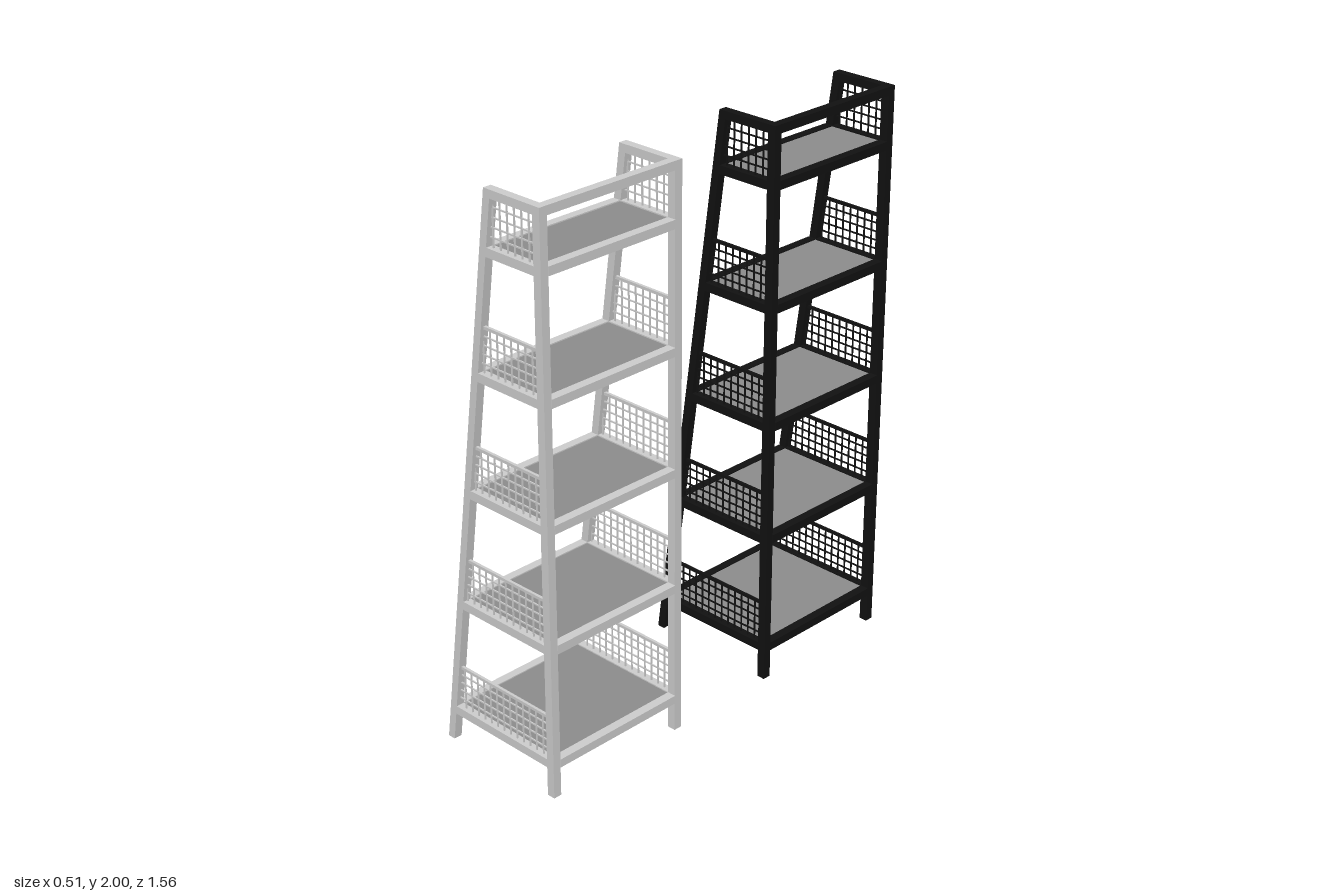
import * as THREE from 'three';

const T = 0.03;                 // bar thickness
const BACK = 0.24;              // x of the upright legs
const SIDE = 0.273;             // half distance between the two ladder sides
const TOP = 2;
const LEVELS = [0.12, 0.54, 0.96, 1.38, 1.8];
const slope = 0.138;
const legX = (y) => -0.243 + slope * y;   // centre line of the leaning legs

function box(parent, name, material, x0, x1, y0, y1, z0, z1) {
  const mesh = new THREE.Mesh(new THREE.BoxGeometry(x1 - x0, y1 - y0, z1 - z0), material);
  mesh.position.set((x0 + x1) / 2, (y0 + y1) / 2, (z0 + z1) / 2);
  mesh.name = name;
  parent.add(mesh);
  return mesh;
}

// Leaning leg: a box sheared so both ends stay level
function leaningLeg(parent, material, z) {
  const geo = new THREE.BoxGeometry(0.029, TOP, T);
  const p = geo.attributes.position;
  for (let i = 0; i < p.count; i++) p.setX(i, p.getX(i) + slope * p.getY(i));
  geo.computeVertexNormals();
  const mesh = new THREE.Mesh(geo, material);
  mesh.position.set(legX(TOP / 2), TOP / 2, z);
  mesh.name = 'leaningLeg';
  parent.add(mesh);
}

// Wire grid standing on one side of a shelf, clipped by the leaning leg
function wireGuard(parent, material, y0, y1, z, hasRim) {
  const guard = new THREE.Group();
  guard.name = 'wireGuard';
  parent.add(guard);
  const r = 0.0022, right = BACK - T / 2;
  const inner = (y) => legX(y) + 0.013;
  const rows = 5, step = (y1 - y0) / rows;
  for (let i = 1; i < rows; i++) {
    const y = y0 + i * step;
    box(guard, 'horizontalWire', material, inner(y), right, y - r, y + r, z - r, z + r);
  }
  for (let x = right - 0.031; x > inner(y0) + 0.006; x -= 0.031) {
    const top = Math.min(y1, y0 + (x - inner(y0)) / slope);
    box(guard, 'verticalWire', material, x - r, x + r, y0, top, z - r, z + r);
  }
  if (hasRim) box(guard, 'guardRim', material, inner(y1), right, y1 - 0.005, y1 + 0.005, z - 0.005, z + 0.005);
}

function shelfUnit(name, material, panelMaterial) {
  const unit = new THREE.Group();
  unit.name = name;
  const h = T / 2, inside = SIDE - h;

  // Side ladders
  for (const z of [-SIDE, SIDE]) {
    box(unit, 'uprightLeg', material, BACK - h, BACK + h, 0, TOP, z - h, z + h);
    leaningLeg(unit, material, z);
    box(unit, 'topSideRail', material, legX(TOP - h), BACK - h, TOP - 0.028, TOP, z - h, z + h);
    LEVELS.forEach((y, i) => {
      const last = i === LEVELS.length - 1;
      box(unit, 'shelfSideRail', material, legX(y), BACK - h, y - h, y + h, z - h, z + h);
      wireGuard(unit, material, y + h, last ? TOP - 0.028 : y + 0.167, z, !last);
    });
  }
  box(unit, 'topBackRail', material, BACK - h, BACK + h, TOP - T, TOP, -inside, inside);

  // Shelves: cross rails with a panel set between them
  for (const y of LEVELS) {
    const x = legX(y);
    box(unit, 'shelfFrontRail', material, x - h, x + h, y - h, y + h, -inside, inside);
    box(unit, 'shelfBackRail', material, BACK - h, BACK + h + 0.002, y - h, y + h, -inside, inside);
    box(unit, 'shelfPanel', panelMaterial, x + h, BACK - h, y - 0.012, y + 0.011, -inside, inside);
  }
  return unit;
}

export function createModel() {
  const model = new THREE.Group();
  model.name = 'ladderShelves';
  const light = new THREE.MeshStandardMaterial({ color: 0xcccccc });
  const black = new THREE.MeshStandardMaterial({ color: 0x111111 });
  const panel = new THREE.MeshStandardMaterial({ color: 0x8c8c8c });
  [['lightShelfUnit', light, 1], ['blackShelfUnit', black, -1]].forEach(([name, mat, s]) => {
    const unit = shelfUnit(name, mat, panel);
    unit.position.z = s * 0.493;
    model.add(unit);
  });
  return model;
}
